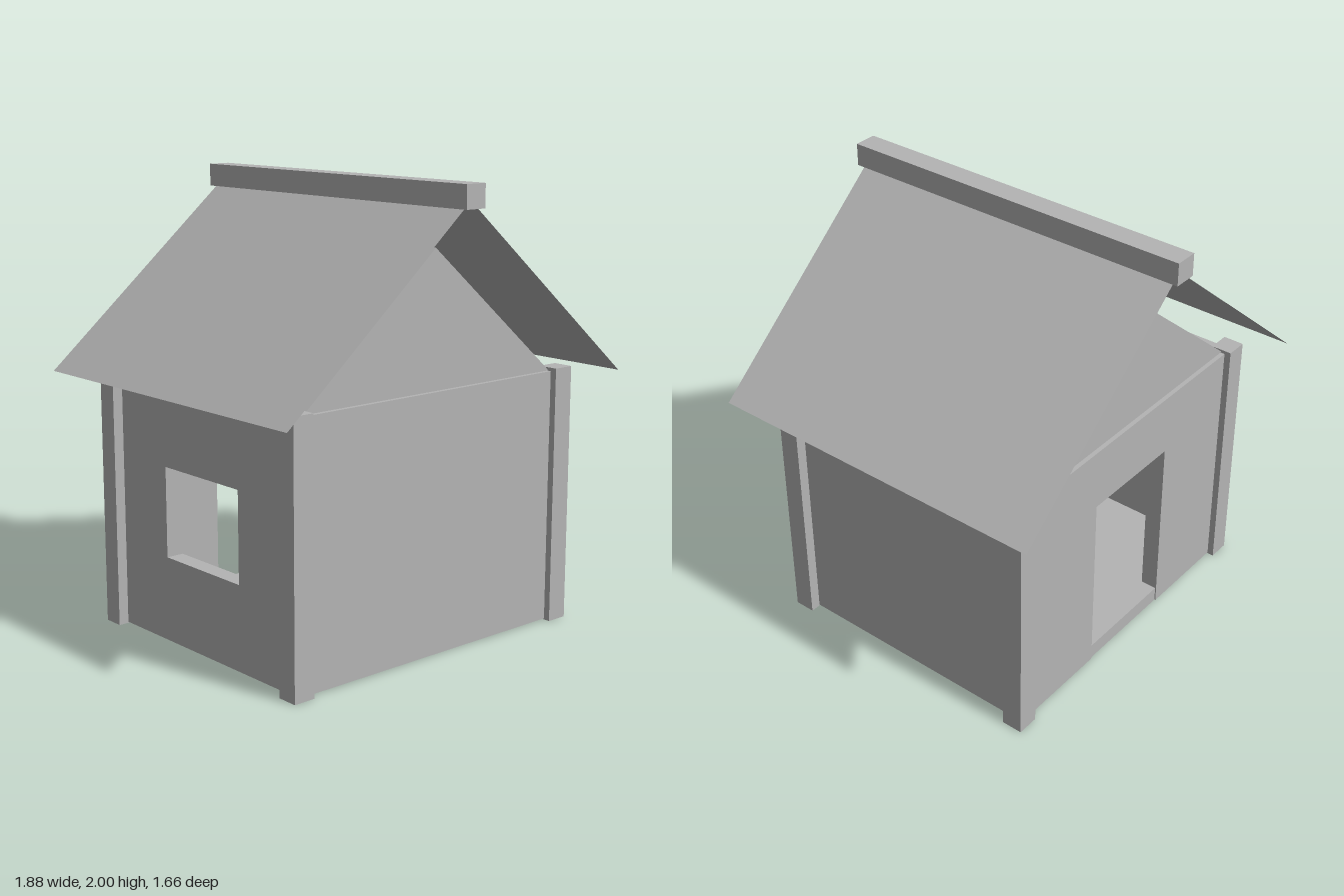
import * as THREE from 'three';

export function createModel() {
  const house = new THREE.Group();
  const grey = new THREE.MeshStandardMaterial({ color: 0xb4b4b4 });
  grey.name = 'plain grey';
  const greySheet = new THREE.MeshStandardMaterial({ color: 0xb4b4b4, side: THREE.DoubleSide });
  greySheet.name = 'plain grey sheet';

  const W = 0.745, D = 0.63, T = 0.08;   // outer half width, outer half depth, wall thickness
  const BASE = 0.005, TOP = 1.14;

  function add(name, geometry, x = 0, y = 0, z = 0, material = grey) {
    const mesh = new THREE.Mesh(geometry, material);
    mesh.name = name;
    mesh.position.set(x, y, z);
    house.add(mesh);
    return mesh;
  }
  const polygon = (pts) => new THREE.Shape(pts.map(([x, y]) => new THREE.Vector2(x, y)));
  const extrude = (shape, depth) =>
    new THREE.ExtrudeGeometry(shape, { depth, bevelEnabled: false });

  // Floor slab
  add('floor', new THREE.BoxGeometry(2 * W - 0.02, 0.07, 2 * D - 0.01), 0, BASE + 0.035, 0);

  // Solid front wall and right side wall
  add('frontWall', new THREE.BoxGeometry(2 * W, TOP - BASE, T), 0, (TOP + BASE) / 2, D - T / 2);
  add('solidSideWall', new THREE.BoxGeometry(T, TOP - BASE, 2 * (D - T)), W - T / 2, (TOP + BASE) / 2, 0);

  // Back wall with doorway
  const back = polygon([
    [-W, BASE], [-0.25, BASE], [-0.25, 0.86], [0.25, 0.86],
    [0.25, BASE], [W, BASE], [W, TOP], [-W, TOP],
  ]);
  add('doorWall', extrude(back, T), 0, 0, -D);

  // Side wall with window opening
  const L = D - T;
  const side = polygon([[-L, BASE], [L, BASE], [L, TOP], [-L, TOP]]);
  side.holes.push(polygon([[-0.25, 0.38], [-0.25, 0.78], [0.25, 0.78], [0.25, 0.38]]));
  add('windowWall', extrude(side, T), -W, 0, 0).rotation.y = Math.PI / 2;

  // Corner posts
  for (const sx of [-1, 1]) for (const sz of [-1, 1]) {
    add('cornerPost', new THREE.BoxGeometry(0.1, 1.155, 0.095), sx * 0.742, 0.5775, sz * 0.6125);
  }

  // Gables
  const gable = polygon([[-0.7, TOP], [0.7, TOP], [0, 1.73]]);
  add('frontGable', extrude(gable, 0.06), 0, 0, 0.55);
  add('backGable', extrude(gable, 0.06), 0, 0, -0.61);

  // Thin roof sheets, from just beside the ridge down to the eaves
  const inX = 0.037, outX = 0.94, inY = 1.9;
  const run = outX - inX, drop = inY - TOP;
  for (const s of [-1, 1]) {
    const sheet = new THREE.PlaneGeometry(Math.hypot(run, drop), 1.605);
    sheet.rotateX(-Math.PI / 2);
    sheet.rotateZ(-s * Math.atan2(drop, run));
    add('roofSheet', sheet, s * (inX + outX) / 2, (inY + TOP) / 2, 0, greySheet);
  }

  // Ridge beam
  add('ridgeBeam', new THREE.BoxGeometry(0.104, 0.1, 1.66), 0, 1.95, 0);

  return house;
}
